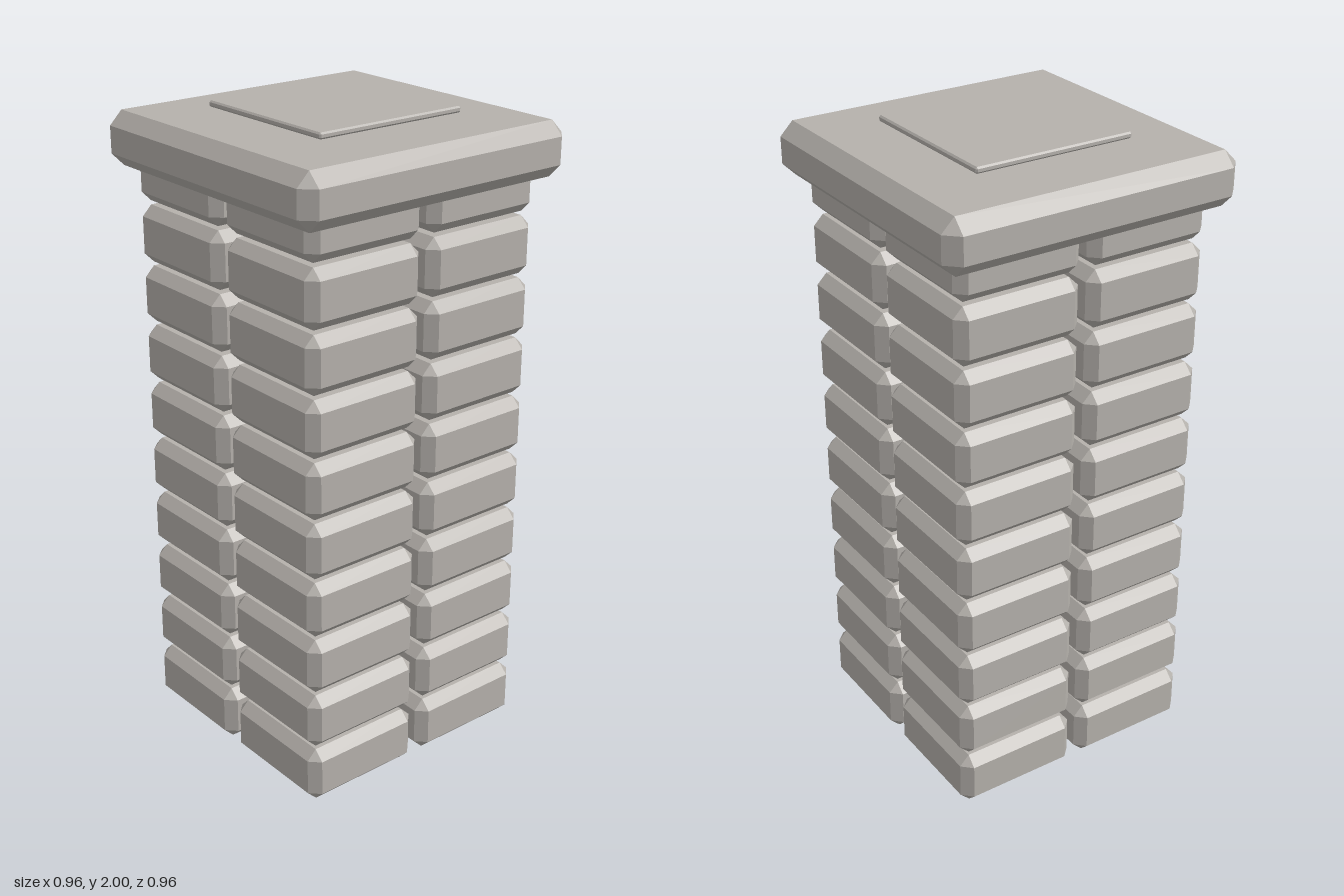
import * as THREE from 'three';
import { ConvexGeometry } from 'three/addons/geometries/ConvexGeometry.js';

// Box with every edge cut flat and a small triangle at each corner
function chamferedBox(w, h, d, c) {
  const x = w / 2, y = h / 2, z = d / 2, points = [];
  for (const sx of [-1, 1]) for (const sy of [-1, 1]) for (const sz of [-1, 1]) {
    points.push(
      new THREE.Vector3(sx * x, sy * (y - c), sz * (z - c)),
      new THREE.Vector3(sx * (x - c), sy * y, sz * (z - c)),
      new THREE.Vector3(sx * (x - c), sy * (y - c), sz * z));
  }
  return new ConvexGeometry(points);
}

export function createModel() {
  const model = new THREE.Group();
  model.name = 'stonePillar';
  const stone = new THREE.MeshStandardMaterial({ color: 0xb5b1ac });
  stone.name = 'stone';

  const add = (parent, name, geometry, x, y, z) => {
    const mesh = new THREE.Mesh(geometry, stone);
    mesh.name = name;
    mesh.position.set(x, y, z);
    parent.add(mesh);
  };

  // Ten courses of four separate blocks, the topmost sunk into the cap
  const blockHeight = 0.176, pitch = 0.1888, offset = 0.214;
  const block = chamferedBox(0.402, blockHeight, 0.402, 0.031);
  for (let i = 0; i < 10; i++) {
    const course = new THREE.Group();
    course.name = `course${i + 1}`;
    course.position.y = blockHeight / 2 + i * pitch;
    for (const sx of [-1, 1]) for (const sz of [-1, 1]) {
      add(course, 'block', block, sx * offset, 0, sz * offset);
    }
    model.add(course);
  }

  // Overhanging cap and the thin plate hovering just above it
  add(model, 'cap', chamferedBox(0.956, 0.164, 0.956, 0.041), 0, 1.885, 0);
  add(model, 'topPlate', chamferedBox(0.512, 0.019, 0.512, 0.005), 0, 1.9905, 0);
  return model;
}
